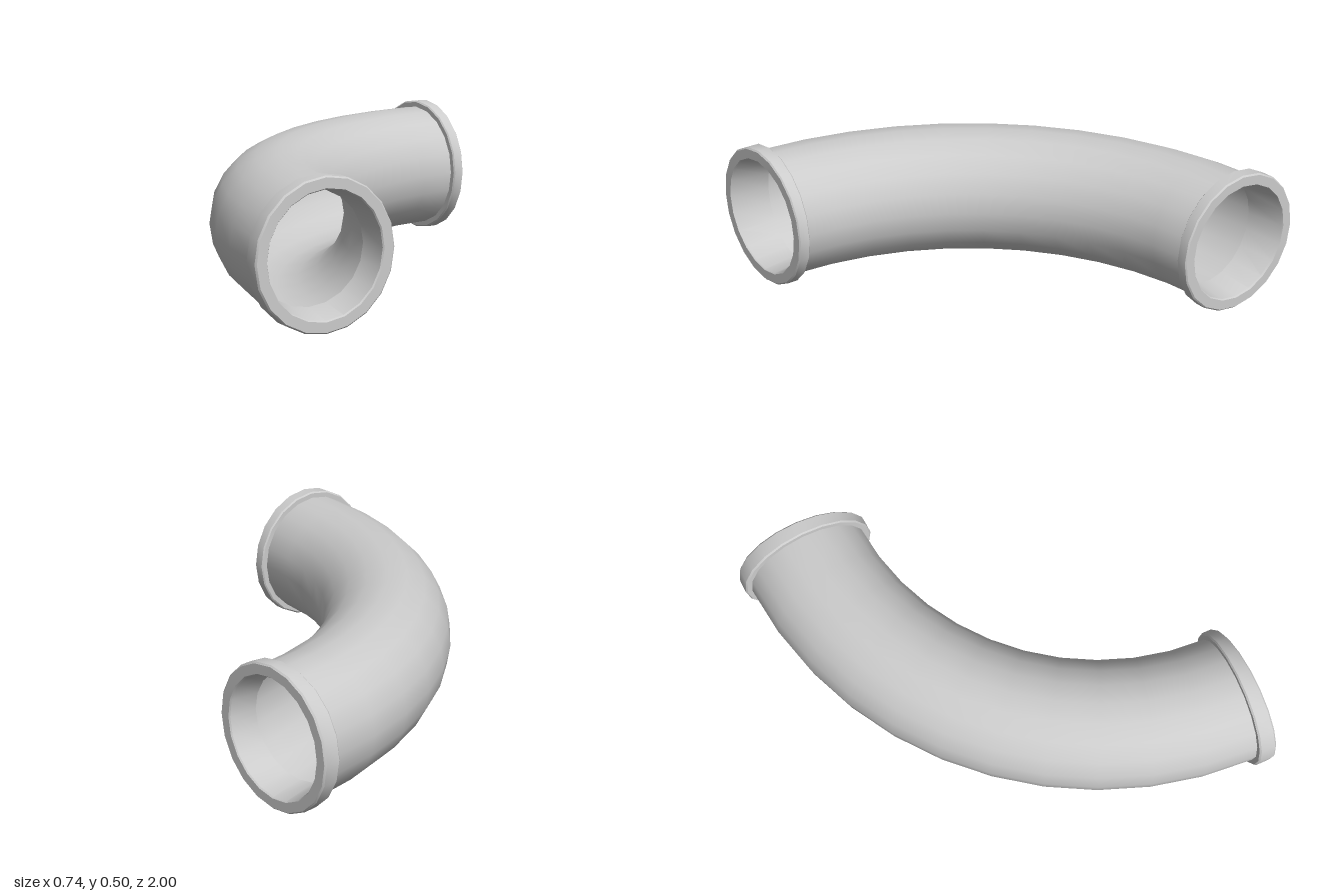
import * as THREE from 'three';
import { toCreasedNormals } from 'three/addons/utils/BufferGeometryUtils.js';

const BEND = 1.169;     // radius of the pipe's centre line
const CENTRE_X = 1.0225; // centre of the bend
const AXIS_Y = 0.25;
const SIDES = 20;

// Sweeps rings round the bend; each ring is [pipe radius, bend angle in degrees].
function bendSweep(rings) {
  const positions = [];
  const index = [];
  rings.forEach(([radius, degrees], i) => {
    const theta = THREE.MathUtils.degToRad(degrees);
    for (let j = 0; j < SIDES; j++) {
      const phi = (j / SIDES) * Math.PI * 2;
      const reach = BEND + radius * Math.cos(phi);
      positions.push(
        CENTRE_X - reach * Math.cos(theta),
        AXIS_Y + radius * Math.sin(phi),
        reach * Math.sin(theta)
      );
      if (i === rings.length - 1) continue;
      const a = i * SIDES + j;
      const b = i * SIDES + (j + 1) % SIDES;
      index.push(a, a + SIDES, b, b, a + SIDES, b + SIDES);
    }
  });
  const geometry = new THREE.BufferGeometry();
  geometry.setAttribute('position', new THREE.Float32BufferAttribute(positions, 3));
  geometry.setIndex(index);
  geometry.computeVertexNormals();
  return geometry;
}

export function createModel() {
  const group = new THREE.Group();
  group.name = 'pipeBend';
  const material = new THREE.MeshStandardMaterial({ color: 0xcccccc, side: THREE.DoubleSide });

  const add = (name, geometry) => {
    const mesh = new THREE.Mesh(geometry, material);
    mesh.name = name;
    group.add(mesh);
  };

  // Thin curved wall, seen from outside and through the bore
  const pipeEnd = 42.4;
  const segments = 11;
  const wall = [];
  for (let i = 0; i <= segments; i++) {
    wall.push([0.227, pipeEnd * (2 * i / segments - 1)]);
  }
  add('pipe', bendSweep(wall));

  // Bevelled collar: back, rim, end face, then the short tapered mouth
  const collar = [
    [0.226, pipeEnd], [0.245, pipeEnd], [0.25, 42.65], [0.25, 44.75],
    [0.245, 45], [0.211, 45], [0.207, 44.75], [0.19, 39.1],
  ];
  const mirrored = collar.map(([r, angle]) => [r, -angle]).reverse();
  add('frontCollar', toCreasedNormals(bendSweep(collar), Math.PI / 6));
  add('backCollar', toCreasedNormals(bendSweep(mirrored), Math.PI / 6));

  return group;
}
